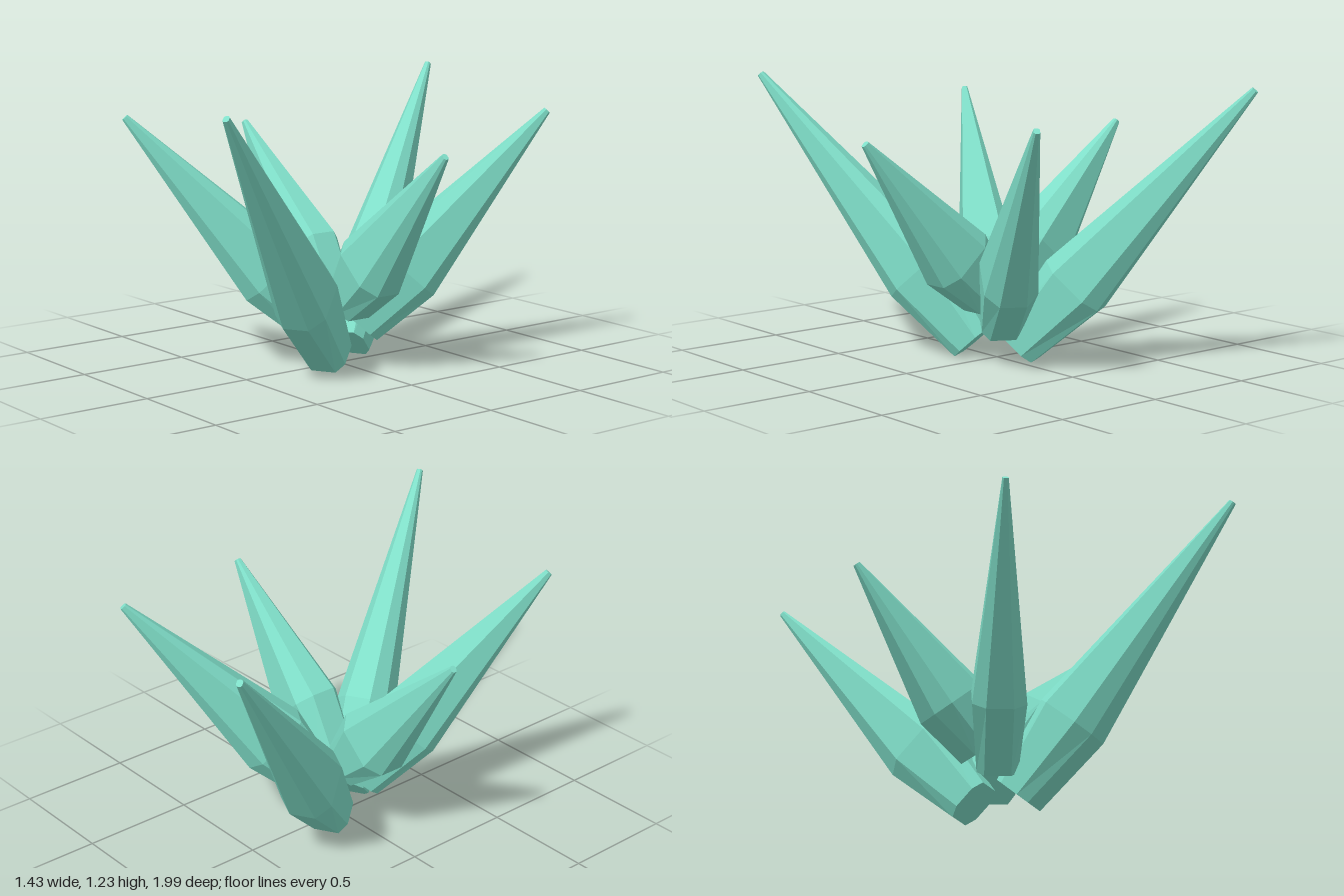
import * as THREE from 'three';

const TILT = THREE.MathUtils.degToRad(41.8);

// Chamfered eight-sided section at a given height:
// w, d = half width and half depth; h, s = half lengths of the outer and side edges
function section(y, w, d, h, s) {
  return [[h, d], [w, s], [w, -s], [h, -d], [-h, -d], [-w, -s], [-w, s], [-h, d]]
    .map(([x, z]) => new THREE.Vector3(x, y, z));
}

// Closed faceted solid through a list of sections
function loft(rings) {
  const points = [];
  const n = rings[0].length;
  for (let k = 0; k < rings.length - 1; k++) {
    const a = rings[k], b = rings[k + 1];
    for (let i = 0; i < n; i++) {
      const j = (i + 1) % n;
      points.push(a[i], a[j], b[j], a[i], b[j], b[i]);
    }
  }
  const base = rings[0], tip = rings[rings.length - 1];
  for (let i = 1; i < n - 1; i++) {
    points.push(base[0], base[i + 1], base[i]);
    points.push(tip[0], tip[i], tip[i + 1]);
  }
  const geometry = new THREE.BufferGeometry().setFromPoints(points);
  geometry.computeVertexNormals();
  return geometry;
}

// Crystal that widens to a shoulder a quarter of the way up, then tapers
function crystalGeometry(length) {
  return loft([
    section(0, 0.088, 0.098, 0.057, 0.05),
    section(length * 0.25, 0.115, 0.155, 0.058, 0.088),
    section(length, 0.013, 0.015, 0.007, 0.008),
  ]);
}

export function createModel() {
  const model = new THREE.Group();
  model.name = 'crystalCluster';

  const crystalGreen = new THREE.MeshStandardMaterial({ color: 0x7fdec8 });
  crystalGreen.name = 'crystalGreen';
  crystalGreen.flatShading = true;

  // Three sizes, each repeated on the opposite side
  const sizes = [
    { name: 'longCrystal', angle: 30, length: 1.543, y: 0.067, r: 0.106 },
    { name: 'mediumCrystal', angle: -30, length: 1.248, y: 0.175, r: 0.088 },
    { name: 'shortCrystal', angle: 90, length: 0.958, y: 0.285, r: 0.067 },
  ];
  for (const { name, angle, length, y, r } of sizes) {
    const geometry = crystalGeometry(length);
    for (const turn of [0, 180]) {
      const arm = new THREE.Group();
      arm.name = name + (turn ? 'BackArm' : 'FrontArm');
      arm.rotation.y = THREE.MathUtils.degToRad(angle + turn);
      const crystal = new THREE.Mesh(geometry, crystalGreen);
      crystal.name = name;
      crystal.position.set(0, y, r);
      crystal.rotation.x = TILT;
      arm.add(crystal);
      model.add(arm);
    }
  }
  return model;
}
